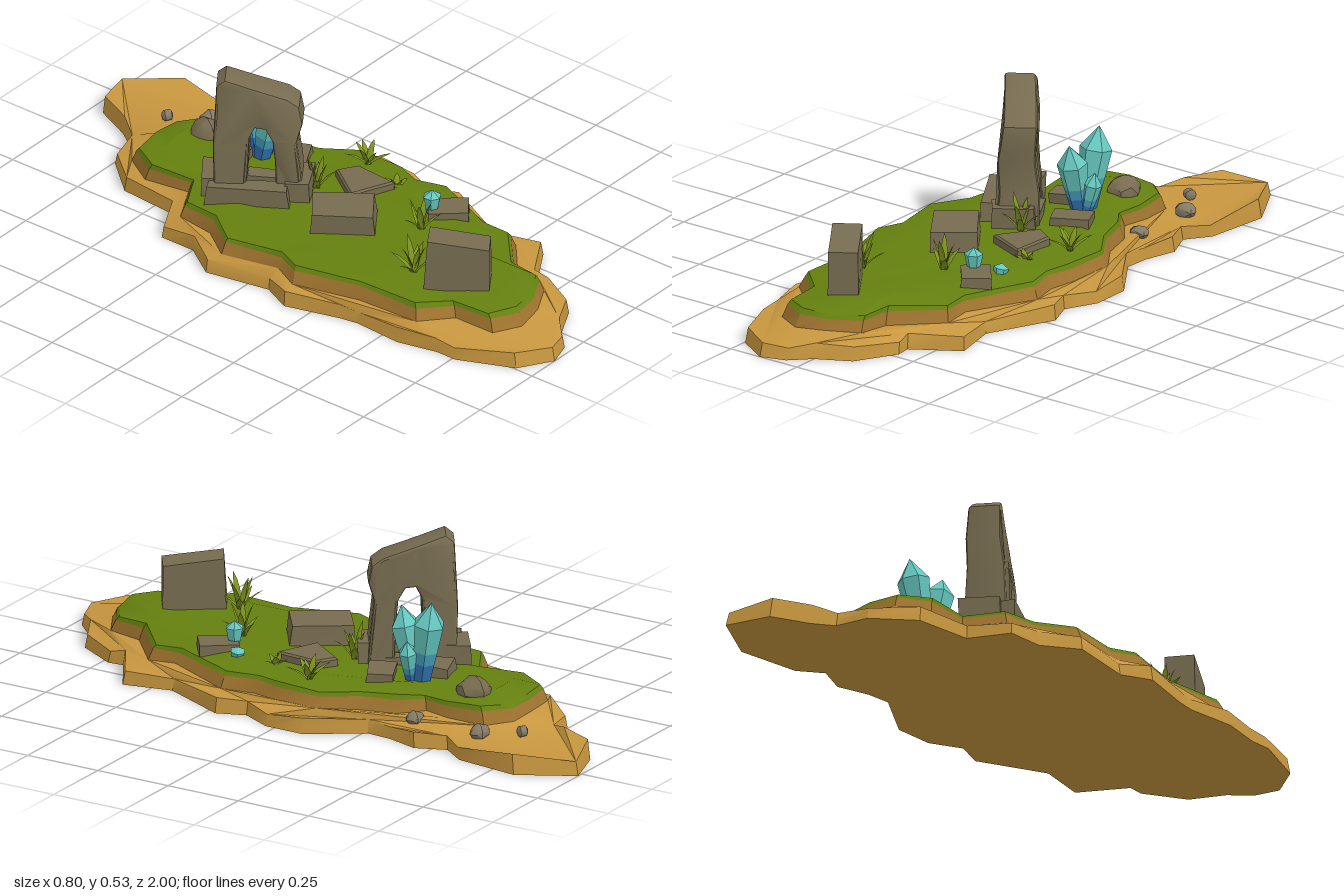
import * as THREE from 'three';
import { toCreasedNormals } from 'three/addons/utils/BufferGeometryUtils.js';

const mat = (name, color, side = THREE.FrontSide) =>
  Object.assign(new THREE.MeshStandardMaterial({ color, side }), { name });

// shore and plateau outlines as x, z pairs, clockwise from above
const SHORE = [
  .27, -1, .365, -.83, .34, -.62, .285, -.545, .325, -.45, .295, -.345, .29, -.265, .4, -.1, .4, .03,
  .35, .13, .385, .22, .285, .435, .32, .59, .175, .68, .18, .73, .105, .86, 0, .915, -.06, .975,
  -.14, 1, -.245, .935, -.32, .76, -.32, .69, -.35, .56, -.34, .4, -.35, .34, -.4, .165, -.355, .07,
  -.395, -.14, -.32, -.25, -.32, -.37, -.195, -.435, -.18, -.625, -.075, -.745, .03, -.77, .075, -.835, .13, -.955];
const PLATEAU = [
  -.1, -.64, .005, -.655, .095, -.65, .165, -.59, .18, -.475, .165, -.39, .215, -.32, .245, -.21, .315, -.105,
  .31, .05, .285, .13, .31, .23, .215, .45, .22, .54, .085, .66, .075, .765, -.02, .82, -.11, .835,
  -.19, .79, -.2, .66, -.285, .58, -.285, .37, -.34, .16, -.305, .08, -.34, -.105, -.265, -.21, -.255, -.33,
  -.14, -.395, -.155, -.545];

// loop of points: outline scaled in x and z, with height from a rule
function loop(flat, sx, sz, height) {
  const out = [];
  for (let i = 0; i < flat.length; i += 2)
    out.push(new THREE.Vector3(flat[i] * sx, height(flat[i + 1], i / 2), flat[i + 1] * sz));
  return out;
}

function wall(lower, upper) {
  const tris = [];
  lower.forEach((a, i) => {
    const j = (i + 1) % lower.length;
    tris.push(a, upper[i], lower[j], lower[j], upper[i], upper[j]);
  });
  return tris;
}

function cap(ring, up = 1, hole = null) {
  const flat = (r) => r.map((p) => new THREE.Vector2(p.x, p.z));
  const all = hole ? [...ring, ...hole] : ring;
  const tris = [];
  for (const [a, b, c] of THREE.ShapeUtils.triangulateShape(flat(ring), hole ? [flat(hole)] : [])) {
    const [p, q, r] = [all[a], all[b], all[c]];
    const ny = (q.z - p.z) * (r.x - p.x) - (q.x - p.x) * (r.z - p.z);
    tris.push(...(ny * up > 0 ? [p, q, r] : [p, r, q]));
  }
  return tris;
}

const surface = (tris, crease = 0.6) =>
  toCreasedNormals(new THREE.BufferGeometry().setFromPoints(tris), crease);

export function createModel() {
  const sand = mat('sand', 0xc8973f);
  const earth = mat('earth', 0xa0742f);
  const grass = mat('grass', 0x64800f);
  const leaf = mat('leaf', 0x7f9420, THREE.DoubleSide);
  const stone = mat('stone', 0x776c50);
  const pebbleGrey = mat('pebble grey', 0x857b66);
  const crystalTeal = mat('crystal teal', 0x66c8c0);
  const crystalMid = mat('crystal mid blue', 0x48a2c2);
  const crystalBlue = mat('crystal deep blue', 0x3176b4);

  const model = new THREE.Group();
  model.name = 'island';
  const add = (name, geometry, material, parent = model) => {
    const mesh = new THREE.Mesh(geometry, material);
    mesh.name = name;
    parent.add(mesh);
    return mesh;
  };
  let seed = 7;
  const rand = () => ((seed = (seed * 16807) % 2147483647) / 2147483647) - 0.5;

  // sandy shore, earth cliff and grass plateau
  const shoreFoot = loop(SHORE, 1, 1, () => 0);
  const shoreRim = loop(SHORE, 0.985, 0.99,
    (z, i) => (z < -0.8 && z > -0.98 ? 0.064 : 0.043 + 0.007 * Math.sin(i * 2.1)));
  const cliffFoot = loop(PLATEAU, 1.06, 1.025, (z, i) => 0.06 + 0.005 * Math.sin(i * 1.7));
  const cliffTop = loop(PLATEAU, 1.01, 1.005, () => 0.096);
  const grassEdge = loop(PLATEAU, 0.985, 0.99, (z, i) => 0.109 + 0.003 * Math.sin(i * 2.3));
  const grassInner = loop(PLATEAU, 0.7, 0.87, (z, i) => 0.123 + 0.005 * Math.sin(i * 1.3));
  add('shore', surface([...wall(shoreFoot, shoreRim), ...cap(shoreRim, 1, cliffFoot), ...cap(shoreFoot, -1)]), sand);
  add('cliff', surface(wall(cliffFoot, cliffTop)), earth);
  add('grassPlateau', surface([...wall(cliffTop, grassEdge), ...wall(grassEdge, grassInner), ...cap(grassInner)]), grass);

  // rough stone block: tapered box with shifted corners, sunk into the ground
  function block(name, x, z, w, len, top, turn, { taper = 0.94, slope = 0, rough = 0.012, bottom = 0.09 } = {}) {
    const h = top - bottom;
    const g = new THREE.BoxGeometry(w, h, len);
    const p = g.attributes.position;
    const shifts = Array.from({ length: 8 }, () => [rand() * rough, rand() * rough, rand() * rough]);
    for (let i = 0; i < p.count; i++) {
      const [a, b, c] = [p.getX(i), p.getY(i), p.getZ(i)];
      const s = shifts[(a > 0) + 2 * (b > 0) + 4 * (c > 0)];
      const k = b > 0 ? taper : 1;
      p.setXYZ(i, a * k + s[0], b + (b > 0 ? (slope * c) / len + s[1] * 0.5 : 0), c * k + s[2]);
    }
    const mesh = add(name, toCreasedNormals(g, 0.3), stone);
    mesh.position.set(x, bottom + h / 2, z);
    mesh.rotation.y = turn;
  }
  block('standingStone', -0.115, 0.61, 0.095, 0.2, 0.27, 0.56, { slope: -0.02, taper: 0.93 });
  block('flatSlab', -0.065, 0.125, 0.145, 0.2, 0.185, 0.61);
  block('crystalSlab', 0.175, 0.34, 0.1, 0.125, 0.146, 0.65);
  block('sideSlab', 0.12, -0.205, 0.085, 0.13, 0.15, 2.05);
  block('backSlab', 0.005, -0.345, 0.075, 0.1, 0.155, 1.85);
  block('archBaseLeft', -0.145, -0.175, 0.06, 0.26, 0.175, 0.56);
  block('archFrontFoot', -0.01, -0.09, 0.14, 0.085, 0.185, 0.58);
  block('archBackFoot', -0.14, -0.31, 0.13, 0.08, 0.18, 0.58);
  block('archBaseRight', -0.005, -0.19, 0.045, 0.17, 0.145, 0.56);

  // low wedge slab
  const wedge = new THREE.Shape([[-0.075, 0.02], [0.05, 0.075], [0.06, -0.06], [0.005, -0.095]]
    .map(([x, z]) => new THREE.Vector2(x, -z)));
  const wedgeGeo = new THREE.ExtrudeGeometry(wedge, { depth: 0.055, bevelSize: 0.006, bevelThickness: 0.006, bevelSegments: 1 });
  wedgeGeo.rotateX(-Math.PI / 2);
  add('wedgeSlab', toCreasedNormals(wedgeGeo, 0.3), stone).position.set(0.12, 0.09, 0.05);

  // stone arch, thicker at the foot
  const archShape = new THREE.Shape([
    [-0.125, 0.1], [-0.13, 0.3], [-0.125, 0.4], [-0.12, 0.5], [-0.1, 0.516], [-0.02, 0.487], [0.085, 0.452],
    [0.115, 0.43], [0.125, 0.38], [0.108, 0.32], [0.12, 0.22], [0.13, 0.1],
    [0.062, 0.1], [0.058, 0.24], [0.05, 0.32], [0.025, 0.365], [-0.015, 0.37], [-0.035, 0.33], [-0.04, 0.22], [-0.05, 0.1],
  ].map(([x, y]) => new THREE.Vector2(x, y)));
  const arch = new THREE.ExtrudeGeometry(archShape, { depth: 0.08, bevelSize: 0.008, bevelThickness: 0.012, bevelSegments: 2 });
  arch.translate(0, 0, -0.04);
  const ap = arch.attributes.position;
  for (let i = 0; i < ap.count; i++) {
    const y = ap.getY(i);
    ap.setZ(i, ap.getZ(i) * (1.3 - 0.9 * (y - 0.1)) + 0.006 * Math.sin(y * 25));
  }
  const archMesh = add('stoneArch', toCreasedNormals(arch, 0.6), stone);
  archMesh.position.set(-0.067, 0, -0.195);
  archMesh.rotation.y = -0.96;

  // boulder and beach pebbles
  function boulder(name, x, y, z, rx, ry, rz, material) {
    const g = new THREE.IcosahedronGeometry(1, 1);
    const p = g.attributes.position;
    for (let i = 0; i < p.count; i++) {
      const k = 1 + 0.09 * Math.sin(p.getX(i) * 5 + p.getZ(i) * 3 + x * 30);
      p.setXYZ(i, p.getX(i) * rx * k, p.getY(i) * ry * k, p.getZ(i) * rz * k);
    }
    add(name, toCreasedNormals(g, 0.5), material).position.set(x, y, z);
  }
  boulder('boulder', 0.083, 0.12, -0.515, 0.05, 0.048, 0.057, stone);
  boulder('pebble', 0.165, 0.06, -0.735, 0.02, 0.018, 0.018, pebbleGrey);
  boulder('pebble', 0.233, 0.057, -0.625, 0.036, 0.026, 0.028, pebbleGrey);
  boulder('pebble', 0.233, 0.057, -0.395, 0.032, 0.022, 0.026, pebbleGrey);

  // six-sided crystals, deep blue at the root
  function crystal(base, tip, r) {
    const group = new THREE.Group();
    group.name = 'crystal';
    const from = new THREE.Vector3(...base);
    const axis = new THREE.Vector3(...tip).sub(from);
    const h = axis.length();
    const small = h < 0.1;
    const part = (name, pts, material) => add(name, toCreasedNormals(new THREE.LatheGeometry(
      pts.map(([k, y]) => new THREE.Vector2(k * r, y * h)), 6), 0.3), material, group);
    part('crystalRoot', [[0.55, 0], [0.72, 0.27]], small ? crystalMid : crystalBlue);
    part('crystalBody', [[0.72, 0.27], [0.82, 0.42]], small ? crystalTeal : crystalMid);
    part('crystalTip', [[0.82, 0.42], [1, 0.74], [0, 1]], crystalTeal);
    group.position.copy(from);
    group.quaternion.setFromUnitVectors(new THREE.Vector3(0, 1, 0), axis.normalize());
    model.add(group);
  }
  crystal([0.085, 0.11, -0.325], [0.1, 0.38, -0.372], 0.05);
  crystal([0.08, 0.11, -0.305], [0.078, 0.345, -0.25], 0.047);
  crystal([0.1, 0.11, -0.3], [0.135, 0.255, -0.305], 0.03);
  crystal([0.14, 0.125, 0.305], [0.14, 0.205, 0.305], 0.029);
  crystal([0.2, 0.1, 0.26], [0.206, 0.152, 0.25], 0.024);

  // grass tufts made of bent, folded blades
  function tuft(x, z, height, reach, blades) {
    const group = new THREE.Group();
    group.name = 'grassTuft';
    for (let b = 0; b < blades; b++) {
      const h = height * (b % 2 ? 0.62 : 1) * (1 + rand() * 0.25);
      const out = reach * (b % 2 ? 1.1 : 0.65);
      const g = new THREE.PlaneGeometry(1, 1, 2, 4);
      const p = g.attributes.position;
      for (let i = 0; i < p.count; i++) {
        const t = p.getY(i) + 0.5;
        const s = p.getX(i);
        const width = 0.027 * (0.55 + 1.3 * t - 1.85 * t * t);
        p.setXYZ(i, s * width, h * (1.35 * t - 0.35 * t * t), out * t ** 1.4 + Math.abs(s) * width * 0.4);
      }
      g.computeVertexNormals();
      add('grassBlade', g, leaf, group).rotation.y = (b / blades) * Math.PI * 2 + rand() * 0.5;
    }
    group.position.set(x, 0.115, z);
    model.add(group);
  }
  tuft(-0.155, 0.47, 0.105, 0.065, 9);
  tuft(0.04, -0.06, 0.11, 0.055, 8);
  tuft(0.25, -0.03, 0.07, 0.065, 8);
  tuft(0.2, 0.12, 0.035, 0.035, 6);
  tuft(0.05, 0.335, 0.1, 0.055, 7);

  return model;
}
